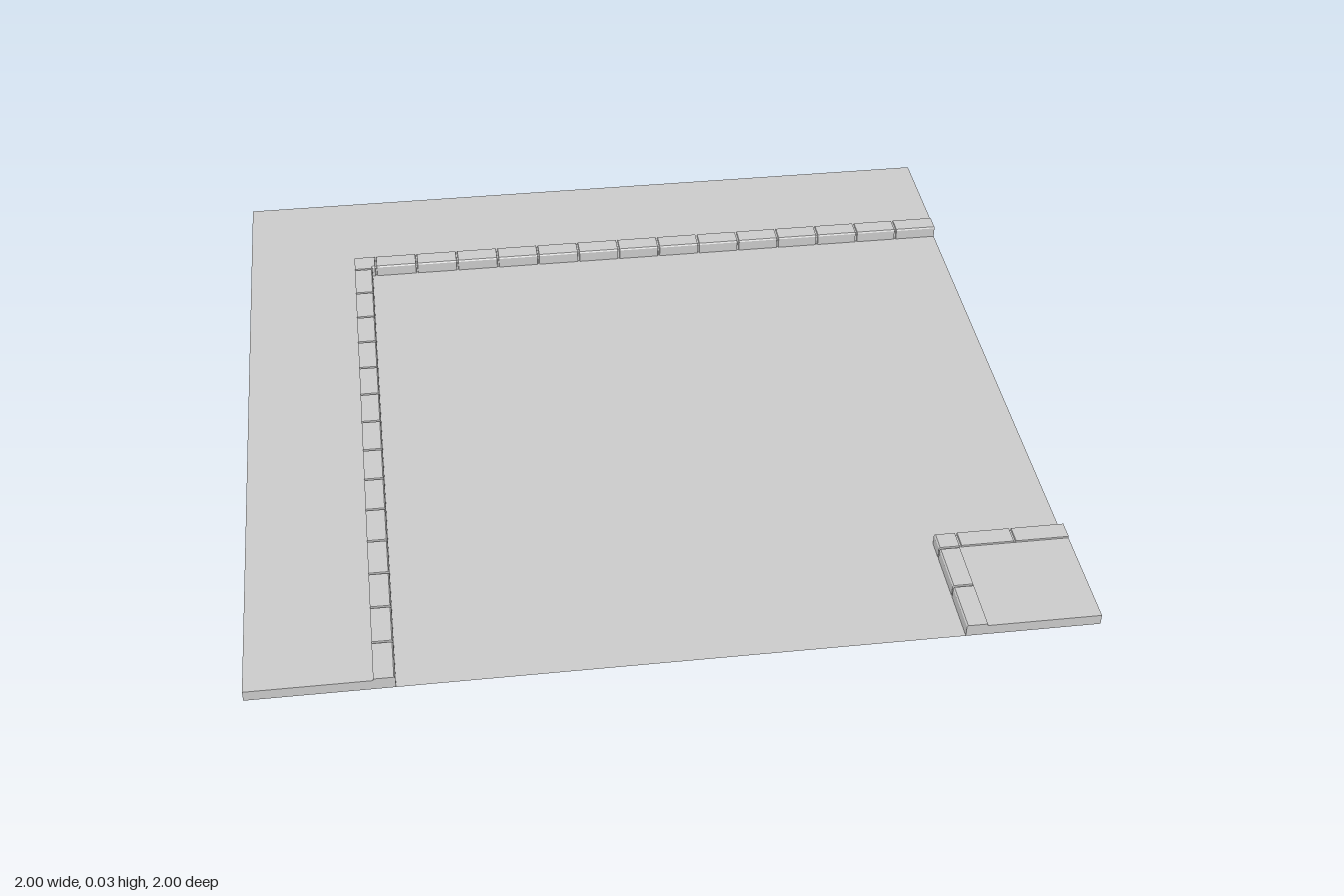
import * as THREE from 'three';

const material = new THREE.MeshStandardMaterial({ color: 0xcccccc, side: THREE.DoubleSide, flatShading: true });

const INNER = -0.655;  // kerb line of the large L-shaped pavement
const CORNER = 0.675;  // kerb line of the small corner pavement
const KERB = 0.05;     // kerb width
const TOP = 0.027;     // pavement height

// Kerb cross-sections as [depth from the road, height]
const stone = [[0, 0], [0, 0.028], [0.003, 0.032], [KERB, 0.032], [KERB, TOP - 0.001]];
const groove = [[0.004, 0], [0.004, 0.025], [0.007, 0.028], [KERB, 0.028], [KERB, TOP - 0.001]];

function addMesh(parent, name, geometry) {
  const mesh = new THREE.Mesh(geometry, material);
  mesh.name = name;
  parent.add(mesh);
  return mesh;
}

// Horizontal sheet from [x, z] corners
function addSheet(parent, name, corners, y) {
  const shape = new THREE.Shape(corners.map(([x, z]) => new THREE.Vector2(x, -z)));
  const geometry = new THREE.ShapeGeometry(shape).rotateX(-Math.PI / 2).translate(0, y, 0);
  return addMesh(parent, name, geometry);
}

// Upright edge wall along one outer side of the tile; angle 0 faces the front
function addWall(parent, angle, from, to) {
  const geometry = new THREE.PlaneGeometry(to - from, TOP);
  geometry.translate((from + to) / 2, TOP / 2, 1).rotateY(angle);
  return addMesh(parent, 'pavementEdge', geometry);
}

// Row of kerb stones from a mitred corner at (c, c) to the tile edge.
// side is the direction of the pavement from the road; alongZ swaps the axes.
function kerbGeometry(c, side, joints, alongZ) {
  const sections = [];
  const add = (profile, place) => sections.push(profile.map(([d, y]) => {
    const across = c + side * d, along = place(across);
    return alongZ ? [across, y, along] : [along, y, across];
  }));
  add(stone, (across) => across);
  for (const s of joints) {
    add(stone, () => s - 0.003);
    add(groove, () => s - 0.002);
    add(groove, () => s + 0.002);
    add(stone, () => s + 0.003);
  }
  add(stone, () => 1);
  add(stone.map(([d]) => [d, 0]), () => 1); // closed end at the tile edge

  const n = stone.length, index = [];
  for (let i = 0; i < sections.length - 1; i++) {
    for (let j = 0; j < n - 1; j++) {
      const a = i * n + j, b = a + n;
      // keep the outside of the strip facing out in all four cases
      if ((side > 0) === alongZ) index.push(a, b, a + 1, b, b + 1, a + 1);
      else index.push(a, a + 1, b, b, a + 1, b + 1);
    }
  }
  const geometry = new THREE.BufferGeometry();
  geometry.setAttribute('position', new THREE.Float32BufferAttribute(sections.flat(2), 3));
  geometry.setIndex(index);
  const flat = geometry.toNonIndexed();
  flat.computeVertexNormals();
  return flat;
}

export function createModel() {
  const model = new THREE.Group();
  model.name = 'roadCornerTile';

  // Road surface, reaching just under the kerb grooves
  const r = INNER - 0.004, q = CORNER + 0.004;
  addSheet(model, 'road', [[r, r], [1, r], [1, q], [q, q], [q, 1], [r, 1]], 0);

  // Large L-shaped pavement
  const outer = new THREE.Group();
  outer.name = 'outerPavement';
  model.add(outer);
  const p = INNER - KERB;
  addSheet(outer, 'pavementTop', [[-1, -1], [1, -1], [1, p], [p, p], [p, 1], [-1, 1]], TOP);
  addWall(outer, 0, -1, p);            // front
  addWall(outer, Math.PI / 2, -p, 1);  // left
  addWall(outer, Math.PI, -1, 1);      // back
  addWall(outer, -Math.PI / 2, -1, 1); // right
  const joints = Array.from({ length: 14 }, (_, i) => 1 - 0.1175 * (14 - i));

  // Small corner pavement
  const corner = new THREE.Group();
  corner.name = 'cornerPavement';
  model.add(corner);
  const k = CORNER + KERB;
  addSheet(corner, 'pavementTop', [[k, k], [1, k], [1, 1], [k, 1]], TOP);
  addWall(corner, 0, k, 1);
  addWall(corner, Math.PI / 2, -1, -k);

  // Kerbs along both arms of each pavement
  for (const alongZ of [false, true]) {
    const name = alongZ ? 'sideKerb' : 'backKerb';
    addMesh(outer, name, kerbGeometry(INNER, -1, joints, alongZ));
    addMesh(corner, name, kerbGeometry(CORNER, 1, [k + 0.004, 0.865], alongZ));
  }
  return model;
}
